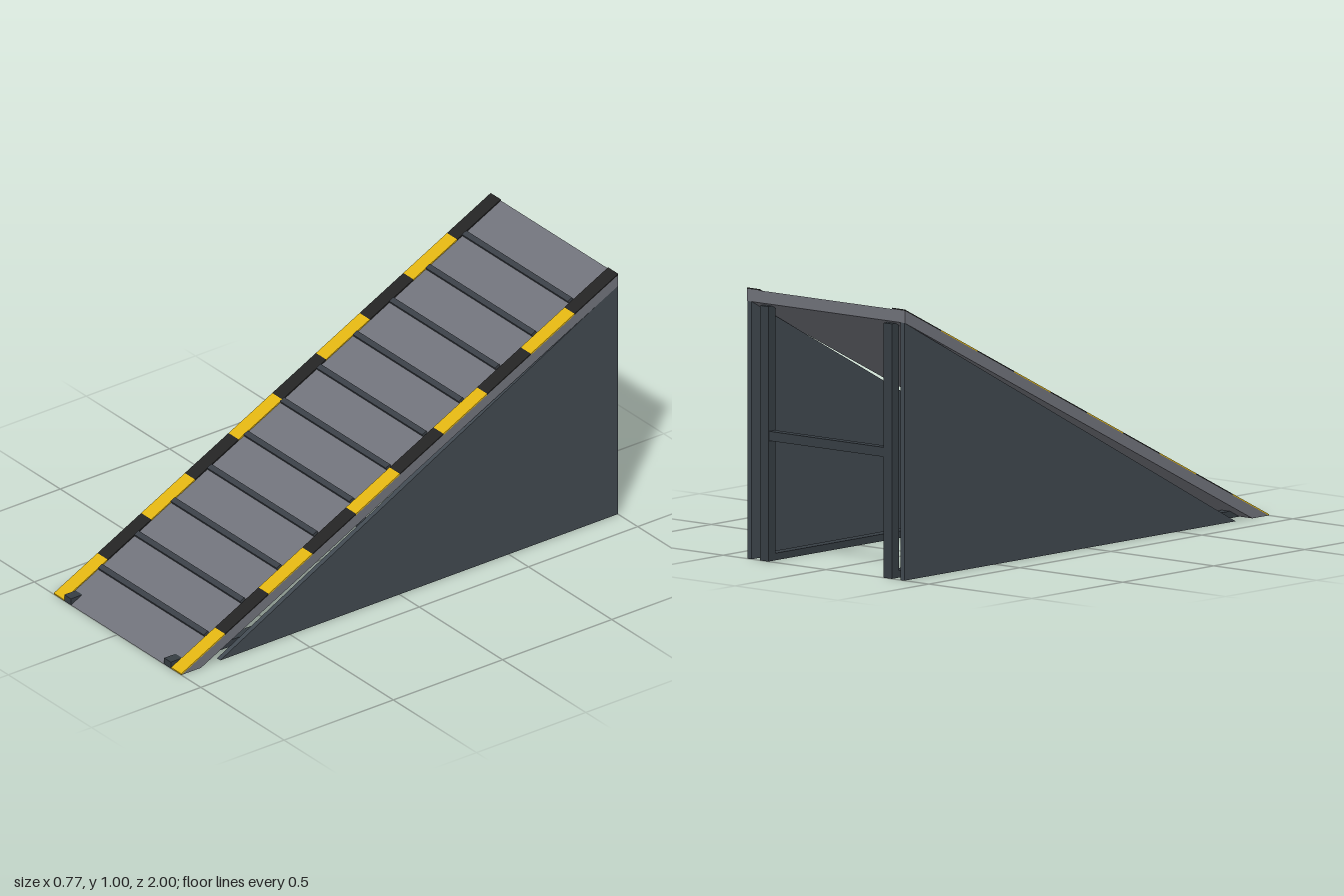
import * as THREE from 'three';

const SLOPE = 0.4975;                      // rise per unit of depth
const surfaceY = (z) => (1 - z) * SLOPE;   // height of the deck surface
const HALF_WIDTH = 0.383;

const mat = (name, color) => {
  const m = new THREE.MeshStandardMaterial({ color });
  m.name = name;
  return m;
};

export function createModel() {
  const model = new THREE.Group();
  model.name = 'ramp';

  const deckGrey = mat('deck grey', 0x70727a);
  const panelGrey = mat('panel slate', 0x40484f);
  const frameGrey = mat('frame dark grey', 0x363d43);
  const cleatGrey = mat('cleat dark grey', 0x3a3f46);
  const yellow = mat('hazard yellow', 0xe0b410);
  const black = mat('hazard black', 0x232323);

  const add = (name, geometry, material) => {
    const mesh = new THREE.Mesh(geometry, material);
    mesh.name = name;
    model.add(mesh);
    return mesh;
  };

  // Side profile given as [z, y] points, extruded across x
  const profile = (name, points, x0, x1, material) => {
    const shape = new THREE.Shape(points.map(([z, y]) => new THREE.Vector2(-z, y)));
    const geometry = new THREE.ExtrudeGeometry(shape, { depth: x1 - x0, bevelEnabled: false });
    geometry.rotateY(Math.PI / 2);
    geometry.translate(x0, 0, 0);
    return add(name, geometry, material);
  };

  // Box given by its limits on each axis
  const box = (name, [x0, x1], [y0, y1], [z0, z1], material) => {
    const geometry = new THREE.BoxGeometry(x1 - x0, y1 - y0, z1 - z0);
    geometry.translate((x0 + x1) / 2, (y0 + y1) / 2, (z0 + z1) / 2);
    return add(name, geometry, material);
  };

  // Sloping deck, ending in a wedge on the ground
  profile('deck', [[1, 0], [-1, surfaceY(-1)], [-1, 0.95], [0.91, 0]],
    -HALF_WIDTH, HALF_WIDTH, deckGrey);

  // Anti-slip cleats
  for (let i = -5; i <= 5; i++) {
    const z = i / 6;
    const cleat = add('cleat', new THREE.BoxGeometry(0.636, 0.022, 0.022), cleatGrey);
    cleat.position.set(0, surfaceY(z), z);
    cleat.rotation.x = Math.atan(SLOPE);
  }

  for (const side of [-1, 1]) {
    const label = side > 0 ? 'left' : 'right';
    const span = (a, b) => (side > 0 ? [a, b] : [-b, -a]);

    // Hazard stripes along the deck edge
    for (let i = 0; i < 10; i++) {
      const z0 = 1 - i * 0.2;
      const z1 = z0 - 0.2;
      const y0 = surfaceY(z0);
      const y1 = surfaceY(z1);
      profile(`${label} hazard stripe`,
        [[z0, y0], [z0, y0 + 0.005], [z1, y1 + 0.005], [z1, y1]],
        ...span(0.322, HALF_WIDTH), i % 2 ? black : yellow);
    }

    // Triangular side panel
    profile(`${label} side panel`, [[0.82, 0], [-1, 0.95], [-1, 0]],
      ...span(0.361, 0.381), panelGrey);

    // Ground rail and rear post
    box(`${label} ground rail`, span(0.28, 0.32), [0, 0.026], [-1, 1], frameGrey);
    box(`${label} rear post`, span(0.28, 0.32), [0, 0.94], [-1, -0.96], frameGrey);
  }

  // Cross braces
  box('rear cross brace', [-0.3, 0.3], [0.445, 0.48], [-0.997, -0.963], frameGrey);
  box('middle cross brace', [-0.3, 0.3], [0.183, 0.217], [-0.017, 0.017], frameGrey);

  return model;
}
